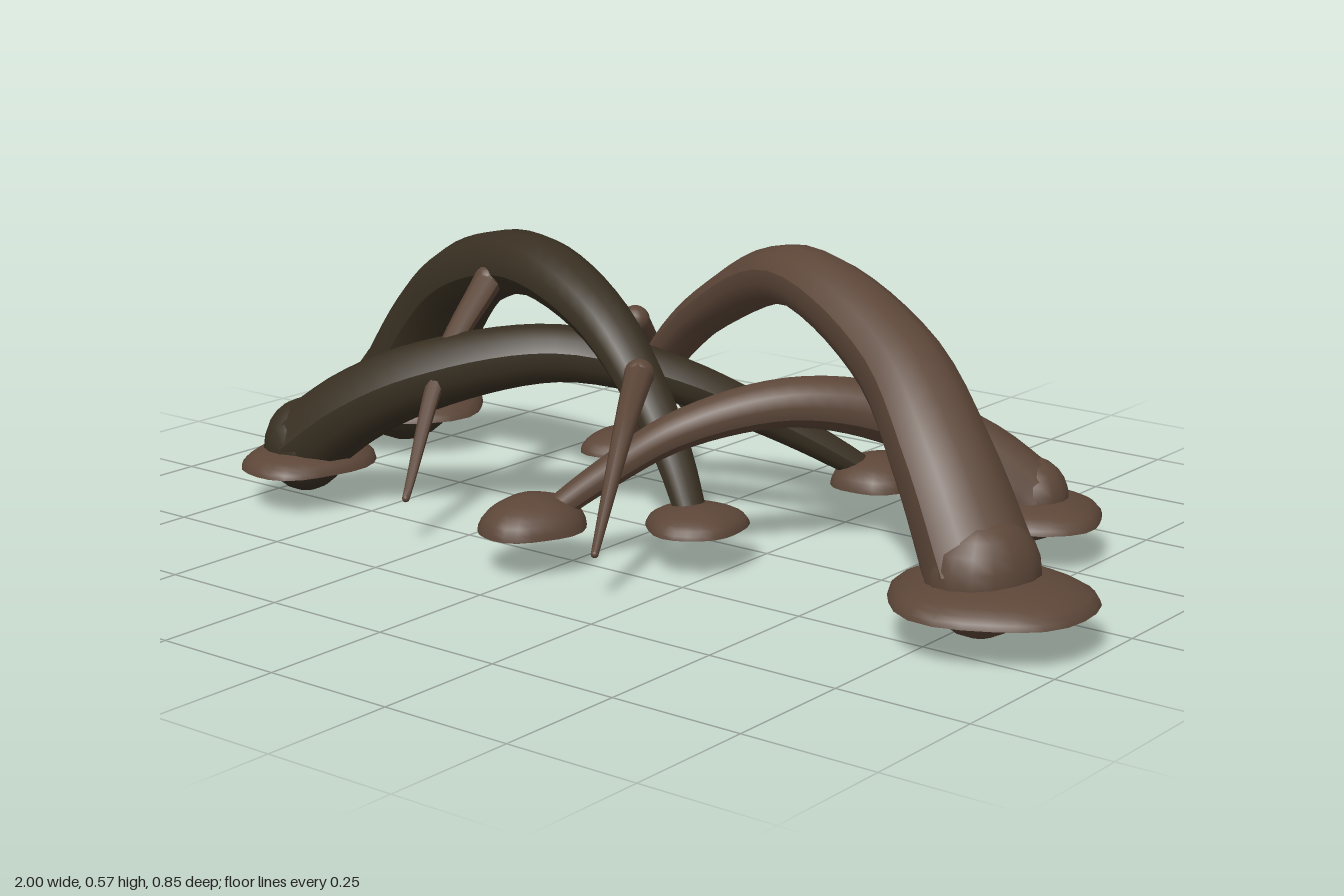
import * as THREE from 'three';

const brown = new THREE.MeshStandardMaterial({ color: 0x5c4638, side: THREE.DoubleSide });
brown.name = 'brown bark';
const dark = new THREE.MeshStandardMaterial({ color: 0x393022, side: THREE.DoubleSide });
dark.name = 'dark bark';

function addMesh(parent, name, geometry, material) {
  const mesh = new THREE.Mesh(geometry, material);
  mesh.name = name;
  parent.add(mesh);
  return mesh;
}

// Tube along a smooth path whose radius shrinks evenly from r0 to r1, with rounded ends.
// flat squeezes the section across the plane of the arch.
function taperedRoot(name, points, r0, r1, flat, sides, material) {
  const group = new THREE.Group();
  group.name = name;
  const curve = new THREE.CatmullRomCurve3(points.map(p => new THREE.Vector3(...p)));
  const segments = 32;
  const tube = new THREE.TubeGeometry(curve, segments, 1, sides);
  const pos = tube.attributes.position;
  const v = new THREE.Vector3();
  const first = curve.getPointAt(0), last = curve.getPointAt(1);
  const across = last.clone().sub(first).setY(0).normalize().cross(new THREE.Vector3(0, 1, 0));
  for (let i = 0; i <= segments; i++) {
    const t = i / segments;
    const centre = curve.getPointAt(t);
    const thin = across.clone().cross(curve.getTangentAt(t)).normalize();
    const r = r0 + (r1 - r0) * t;
    for (let j = 0; j <= sides; j++) {
      const k = i * (sides + 1) + j;
      v.fromBufferAttribute(pos, k).sub(centre);
      v.addScaledVector(thin, (flat - 1) * v.dot(thin)).multiplyScalar(r).add(centre);
      pos.setXYZ(k, v.x, v.y, v.z);
    }
  }
  tube.computeVertexNormals();
  addMesh(group, name + 'Tube', tube, material);
  [[first, r0, 'Base'], [last, r1, 'Tip']].forEach(([p, r, end]) => {
    const cap = addMesh(group, name + end, new THREE.SphereGeometry(r, 16, 12), material);
    cap.position.copy(p);
    cap.rotation.y = Math.atan2(across.x, across.z);
    cap.scale.x = flat;
  });
  return group;
}

// Low open dome of soil with a slightly uneven rim
function soilMound(name, x, z, rx, rz, height, seed) {
  const geo = new THREE.SphereGeometry(1, 24, 8, 0, Math.PI * 2, 0, Math.PI / 2);
  const pos = geo.attributes.position;
  for (let i = 0; i < pos.count; i++) {
    const px = pos.getX(i), pz = pos.getZ(i);
    const a = Math.atan2(pz, px);
    const k = 1 + 0.03 * Math.sin(3 * a + seed) + 0.025 * Math.sin(5 * a + seed * 2.3);
    pos.setXYZ(i, px * k * rx, pos.getY(i) * height, pz * k * rz);
  }
  geo.computeVertexNormals();
  const mound = new THREE.Mesh(geo, brown);
  mound.name = name;
  mound.position.set(x, 0.075, z);
  return mound;
}

export function createModel() {
  const model = new THREE.Group();
  model.name = 'archingRoots';

  // Four main arches, thick base first
  model.add(taperedRoot('tallDarkRoot', [
    [-0.81, 0.115, -0.18], [-0.69, 0.28, -0.15], [-0.54, 0.40, -0.09], [-0.31, 0.463, -0.01],
    [-0.1, 0.405, 0.05], [0.03, 0.30, 0.085], [0.12, 0.19, 0.11], [0.18, 0.085, 0.13],
  ], 0.113, 0.03, 0.82, 12, dark));
  model.add(taperedRoot('lowDarkRoot', [
    [-0.66, 0.11, 0.26], [-0.56, 0.19, 0.235], [-0.42, 0.265, 0.185], [-0.18, 0.325, 0.07],
    [0.0, 0.28, -0.05], [0.13, 0.205, -0.16], [0.22, 0.14, -0.24], [0.285, 0.085, -0.3],
  ], 0.09, 0.025, 0.9, 12, dark));
  model.add(taperedRoot('tallBrownRoot', [
    [0.81, 0.115, 0.165], [0.70, 0.28, 0.12], [0.55, 0.42, 0.045], [0.28, 0.515, -0.04],
    [0.05, 0.42, -0.115], [-0.1, 0.30, -0.16], [-0.2, 0.17, -0.195], [-0.24, 0.085, -0.21],
  ], 0.105, 0.03, 0.82, 12, brown));
  model.add(taperedRoot('lowBrownRoot', [
    [0.62, 0.105, -0.3], [0.535, 0.185, -0.25], [0.42, 0.255, -0.16], [0.29, 0.289, -0.015],
    [0.15, 0.245, 0.13], [0.05, 0.165, 0.22], [-0.03, 0.085, 0.3],
  ], 0.077, 0.025, 0.9, 12, brown));

  // Thin curved side roots hanging off the arches
  [
    [[-0.12, 0.37, -0.08], [-0.205, 0.29, -0.23], [-0.25, 0.088, -0.42]],
    [[0.38, 0.45, -0.05], [0.425, 0.33, -0.2], [0.48, 0.088, -0.375]],
    [[-0.39, 0.43, 0.03], [-0.365, 0.3, 0.19], [-0.305, 0.088, 0.36]],
    [[0.05, 0.33, 0.12], [0.125, 0.26, 0.26], [0.18, 0.088, 0.405]],
  ].forEach((path, i) => model.add(taperedRoot('sideRoot' + (i + 1), path, 0.028, 0.007, 1, 8, brown)));

  // Mounds at every root end
  [
    ['tallDarkBaseMound', -0.822, -0.18, 0.18, 0.17, 0.05],
    ['tallBrownBaseMound', 0.822, 0.16, 0.178, 0.17, 0.05],
    ['lowDarkBaseMound', -0.655, 0.26, 0.118, 0.14, 0.045],
    ['lowBrownBaseMound', 0.625, -0.293, 0.135, 0.128, 0.045],
    ['tallBrownTipMound', -0.24, -0.21, 0.085, 0.105, 0.04],
    ['lowBrownTipMound', -0.035, 0.318, 0.09, 0.107, 0.06],
    ['tallDarkTipMound', 0.19, 0.133, 0.09, 0.097, 0.04],
    ['lowDarkTipMound', 0.285, -0.31, 0.085, 0.102, 0.055],
  ].forEach((m, i) => model.add(soilMound(...m, i * 1.7 + 0.6)));

  return model;
}
